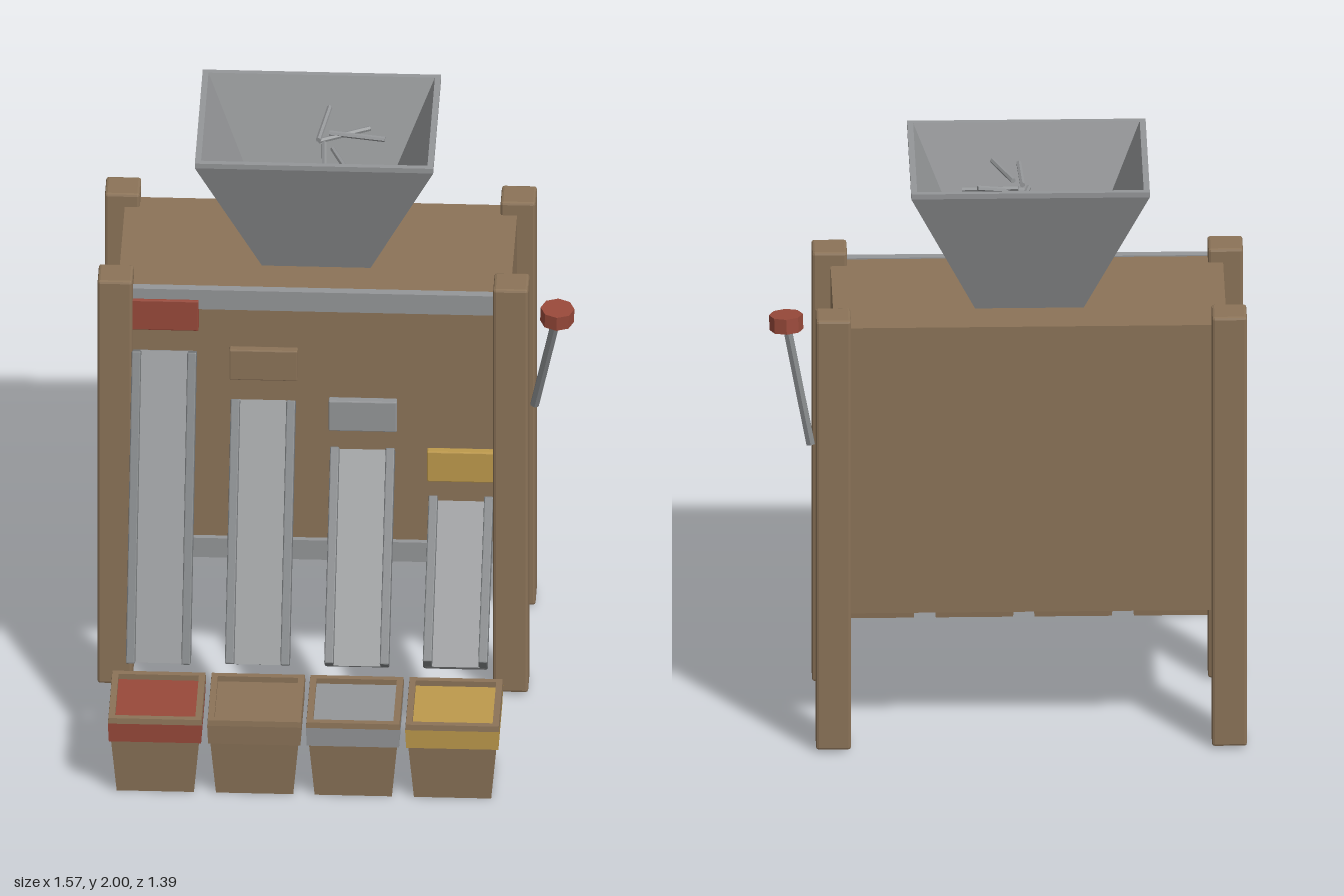
import * as THREE from 'three';
import { RoundedBoxGeometry } from 'three/addons/geometries/RoundedBoxGeometry.js';

const mat = (name, color) => {
  const m = new THREE.MeshStandardMaterial({ color });
  m.name = name;
  return m;
};

// Stacks rectangular rings [halfX, halfZ, y] into a flat-shaded skin
function loft(rings) {
  const corners = rings.map(([a, b, y]) => [[-a, y, b], [a, y, b], [a, y, -b], [-a, y, -b]]);
  const p = [];
  for (let r = 0; r < corners.length - 1; r++) {
    for (let i = 0; i < 4; i++) {
      const j = (i + 1) % 4;
      const [a, b, c, d] = [corners[r][i], corners[r][j], corners[r + 1][j], corners[r + 1][i]];
      p.push(...a, ...b, ...c, ...a, ...c, ...d);
    }
  }
  const g = new THREE.BufferGeometry();
  g.setAttribute('position', new THREE.Float32BufferAttribute(p, 3));
  g.computeVertexNormals();
  return g;
}

// Box with small flat chamfers
function chamferBox(w, h, d, r) {
  const g = new RoundedBoxGeometry(w, h, d, 1, r);
  g.computeVertexNormals();
  return g;
}

// Faceted rod between two points
function rod(a, b, radius, sides) {
  const from = new THREE.Vector3(...a), to = new THREE.Vector3(...b);
  const dir = to.clone().sub(from);
  const g = new THREE.CylinderGeometry(radius, radius, dir.length(), sides).toNonIndexed();
  g.computeVertexNormals();
  g.applyQuaternion(new THREE.Quaternion().setFromUnitVectors(new THREE.Vector3(0, 1, 0), dir.normalize()));
  const mid = from.add(to).multiplyScalar(0.5);
  return g.translate(mid.x, mid.y, mid.z);
}

export function createModel() {
  const model = new THREE.Group();
  model.name = 'sortingMachine';
  const wood = mat('wood', 0x8b7358);
  const steel = mat('steel', 0x949698);
  const darkSteel = mat('darkSteel', 0x7d8082);
  const red = mat('red', 0x98493a);
  const yellow = mat('yellow', 0xbd994c);

  const add = (parent, name, geometry, material, x = 0, y = 0, z = 0) => {
    const m = new THREE.Mesh(geometry, material);
    m.name = name;
    m.position.set(x, y, z);
    parent.add(m);
    return m;
  };

  // Cabinet and its four posts
  add(model, 'cabinet', new THREE.BoxGeometry(1.3, 1.03, 0.58), wood, -0.07, 0.995, -0.35);
  for (const x of [-0.728, 0.583]) {
    for (const z of [-0.067, -0.633]) {
      add(model, 'post', chamferBox(0.116, 1.55, 0.118, 0.009), wood, x, 0.783, z);
    }
  }

  // Steel trim across the front
  for (const y of [1.477, 0.522]) {
    add(model, 'frontTrim', new THREE.BoxGeometry(1.2, 0.074, 0.03), steel, -0.07, y, -0.056);
  }

  // Open hopper with a thin wall
  add(model, 'hopper', loft([
    [0.18, 0.135, 1.51], [0.395, 0.305, 1.98], [0.395, 0.305, 1.998],
    [0.375, 0.285, 1.998], [0.168, 0.12, 1.51],
  ]), steel, -0.07, 0, -0.35);

  // Loose metal rods in the hopper
  const looseRods = [
    [[-0.04, 1.92, -0.56], [-0.07, 1.9, -0.38]],
    [[-0.07, 1.89, -0.39], [0.1, 1.92, -0.43]],
    [[-0.035, 1.91, -0.41], [0.15, 1.9, -0.393]],
    [[-0.05, 1.9, -0.36], [-0.042, 1.9, -0.178]],
    [[-0.02, 1.9, -0.325], [0.045, 1.9, -0.157]],
  ];
  for (const [a, b] of looseRods) add(model, 'looseRod', rod(a, b, 0.009, 6), steel);

  // Lever on the side
  add(model, 'leverArm', rod([0.65, 0.945, -0.305], [0.728, 1.34, -0.212], 0.016, 6), darkSteel);
  add(model, 'leverKnob', rod([0.728, 1.322, -0.213], [0.73, 1.374, -0.209], 0.056, 8), red);

  // One lane per material: label plate, chute and bin
  const lanes = [
    { x: -0.565, binX: -0.565, top: 1.268, labelY: 1.418, color: red },
    { x: -0.237, binX: -0.236, top: 1.085, labelY: 1.233, color: wood },
    { x: 0.092, binX: 0.091, top: 0.9, labelY: 1.045, color: steel },
    { x: 0.418, binX: 0.42, top: 0.705, labelY: 0.858, color: yellow },
  ];
  const foot = { y: 0.335, z: 0.395 };
  const headZ = -0.06;

  for (const lane of lanes) {
    add(model, 'label', chamferBox(0.226, 0.115, 0.03, 0.004), lane.color, lane.x, lane.labelY, -0.046);

    // Sloping chute with a rail on each side
    const chute = new THREE.Group();
    chute.name = 'chute';
    const dy = lane.top - foot.y, dz = headZ - foot.z;
    const length = Math.hypot(dy, dz);
    chute.position.set(lane.x, foot.y, foot.z);
    chute.rotation.x = Math.atan2(dz, dy);
    add(chute, 'chuteFloor', new THREE.BoxGeometry(0.2, length, 0.018), steel, 0, length / 2, 0.009);
    for (const side of [-1, 1]) {
      add(chute, 'chuteRail', chamferBox(0.03, length, 0.07, 0.004), darkSteel, side * 0.092, length / 2, 0.035);
    }
    model.add(chute);

    // Tapered bin with a coloured band, open rim and filling
    const bin = new THREE.Group();
    bin.name = 'bin';
    bin.position.set(lane.binX, 0, 0.54);
    const square = (list) => loft(list.map(([half, y]) => [half, half, y]));
    add(bin, 'binBody', square([[0, 0.002], [0.128, 0.002], [0.146, 0.205]]), wood);
    add(bin, 'binBand', square([[0.14, 0.205], [0.153, 0.205], [0.156, 0.275]]), lane.color);
    add(bin, 'binRim', square([[0.156, 0.275], [0.154, 0.295], [0.133, 0.295], [0.133, 0.255]]), wood);
    add(bin, 'binFilling', new THREE.BoxGeometry(0.27, 0.02, 0.27), lane.color, 0, 0.265, 0);
    model.add(bin);
  }

  return model;
}
